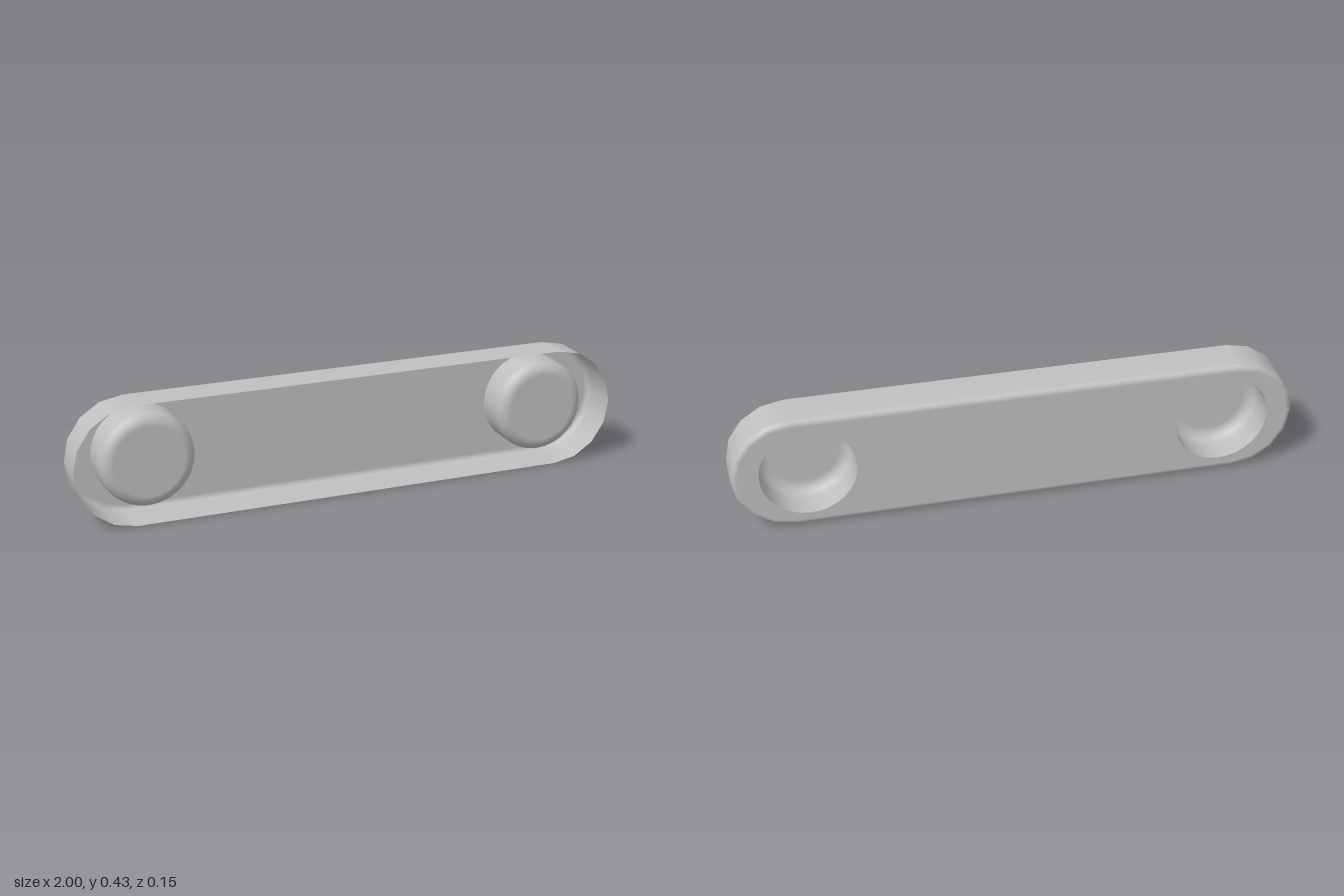
import * as THREE from 'three';

const HALF = 0.787, R = 0.213, BACK = -0.073, FRONT = 0.073, MID_Y = 0.213;
const CUP_R = 0.169, CUP_X = 0.735, CUP_Y = 0.217;

// Closed outline: a circle of radius r whose halves are pulled apart along x
function outline(r, half, steps) {
  const pts = [];
  for (const side of half ? [1, -1] : [0]) {
    const start = side === 0 ? 0 : side > 0 ? -Math.PI / 2 : Math.PI / 2;
    const sweep = side === 0 ? 2 * Math.PI : Math.PI;
    for (let i = 0; i <= steps; i++) {
      const a = start + (sweep * i) / steps;
      pts.push({ x: side * half + r * Math.cos(a), y: r * Math.sin(a), a });
    }
  }
  pts.push(pts[0]);
  return pts;
}

// Skin over rings; each profile entry is [radius, z, tilt of the normal from the side toward +z]
function sweepProfile(profile, half, steps) {
  const pos = [], nor = [], idx = [];
  let n = 0;
  for (const [r, z, tilt] of profile) {
    const ring = outline(r, half, steps);
    n = ring.length;
    for (const p of ring) {
      pos.push(p.x, p.y, z);
      nor.push(Math.cos(tilt) * Math.cos(p.a), Math.cos(tilt) * Math.sin(p.a), Math.sin(tilt));
    }
  }
  for (let k = 0; k < profile.length - 1; k++) {
    for (let i = 0; i < n - 1; i++) {
      const a = k * n + i, b = a + 1, c = a + n, d = c + 1;
      idx.push(a, c, b, b, c, d);
    }
  }
  const g = new THREE.BufferGeometry();
  g.setAttribute('position', new THREE.Float32BufferAttribute(pos, 3));
  g.setAttribute('normal', new THREE.Float32BufferAttribute(nor, 3));
  g.setIndex(idx);
  return g;
}

// Quarter-round profile points between two tilts
function fillet(rCentre, zCentre, radius, from, to, steps) {
  return Array.from({ length: steps + 1 }, (_, i) => {
    const t = from + ((to - from) * i) / steps;
    return [rCentre + radius * Math.cos(t), zCentre + radius * Math.sin(t), t];
  });
}

export function createModel() {
  const group = new THREE.Group();
  group.name = 'roundedTray';
  const grey = new THREE.MeshStandardMaterial({ color: 0xc0c0c0, side: THREE.DoubleSide });
  grey.name = 'light grey';

  const add = (name, geometry, x, y) => {
    const mesh = new THREE.Mesh(geometry, grey);
    mesh.name = name;
    mesh.position.set(x, y, 0);
    group.add(mesh);
  };

  // Thin outer wall, open at the front, rounded over at the back
  const edge = 0.022;
  const wall = [[R, FRONT, 0], ...fillet(R - edge, BACK + edge, edge, 0, -Math.PI / 2, 4)];
  add('outerWall', sweepProfile(wall, HALF, 8), 0, MID_Y);

  // Back plate with two round openings
  const plate = new THREE.Shape(outline(R - edge, HALF, 8).slice(0, -1).map(p => new THREE.Vector2(p.x, p.y)));
  for (const s of [-1, 1]) {
    plate.holes.push(new THREE.Path(outline(CUP_R, 0, 32).slice(0, -2)
      .map(p => new THREE.Vector2(p.x + s * CUP_X, p.y + CUP_Y - MID_Y)).reverse()));
  }
  const plateGeo = new THREE.ShapeGeometry(plate);
  plateGeo.translate(0, 0, BACK);
  add('backPlate', plateGeo, 0, MID_Y);

  // Round cups pressed forward from the back plate
  const round = 0.045, cupFront = 0.058;
  const cup = [[0, cupFront, Math.PI / 2],
    ...fillet(CUP_R - round, cupFront - round, round, Math.PI / 2, 0, 5),
    [CUP_R, BACK, 0]];
  for (const s of [-1, 1]) {
    add(s > 0 ? 'leftCup' : 'rightCup', sweepProfile(cup, 0, 32), s * CUP_X, CUP_Y);
  }
  return group;
}
